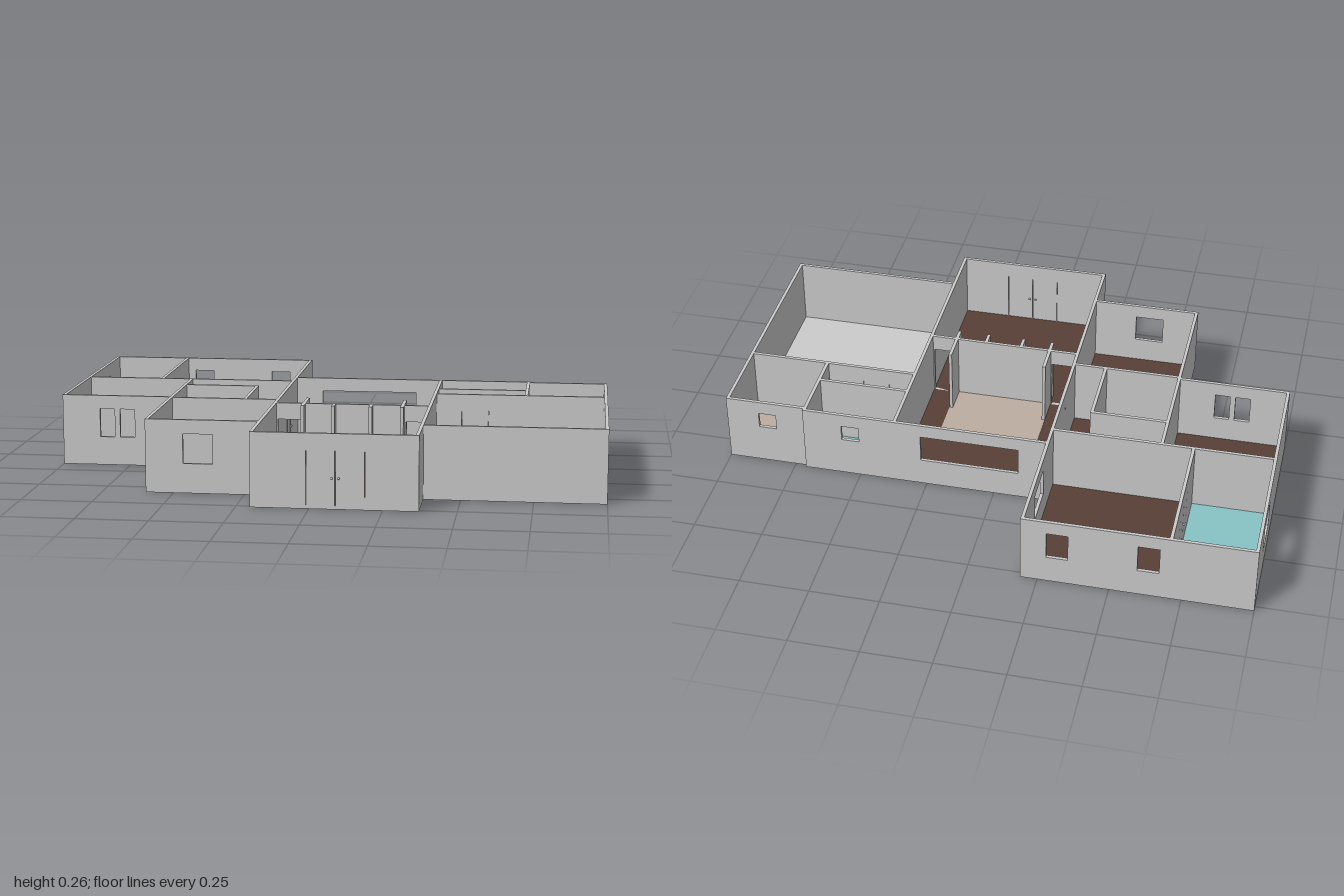
import * as THREE from 'three';

const H = 0.26, T = 0.012, FLOOR = 0.012, DOOR_H = 0.2;
const grey = new THREE.MeshStandardMaterial({ color: 0xcccccc });
const wood = new THREE.MeshStandardMaterial({ color: 0x583f37 });
const bathTile = new THREE.MeshStandardMaterial({ color: 0x88c4c6 });
const stone = new THREE.MeshStandardMaterial({ color: 0xbdada2 });

function add(parent, name, geometry, material = grey) {
  const mesh = new THREE.Mesh(geometry, material);
  mesh.name = name;
  parent.add(mesh);
  return mesh;
}

// Upright wall at c, running from a to b along x or z; holes are [from, to, bottom, top]
function wall(parent, name, axis, c, a, b, holes = []) {
  const shape = new THREE.Shape([[a, 0], [b, 0], [b, H], [a, H]].map(p => new THREE.Vector2(...p)));
  for (const [u0, u1, y0, y1] of holes) {
    shape.holes.push(new THREE.Path([[u0, y0], [u0, y1], [u1, y1], [u1, y0]].map(p => new THREE.Vector2(...p))));
  }
  const geo = new THREE.ExtrudeGeometry(shape, { depth: T, bevelEnabled: false });
  geo.translate(0, 0, -T / 2);
  if (axis === 'z') geo.rotateY(-Math.PI / 2).translate(c, 0, 0);
  else geo.translate(0, 0, c);
  return add(parent, name, geo);
}

// Closed door in a wall: one or two leaves, each with a knob on both faces
function door(parent, name, axis, c, mid, width, leaves) {
  const group = new THREE.Group();
  group.name = name;
  const w = width / leaves, gap = 0.003, h = DOOR_H - FLOOR;
  for (let i = 0; i < leaves; i++) {
    const u = (i - (leaves - 1) / 2) * w;
    add(group, 'doorLeaf', new THREE.BoxGeometry(w - gap, h, T)).position.set(u, FLOOR + h / 2, 0);
    const knobU = leaves === 2 ? Math.sign(u) * 0.012 : w / 2 - 0.012;
    for (const side of [-1, 1]) {
      add(group, 'doorKnob', new THREE.SphereGeometry(0.004, 12, 8)).position.set(knobU, 0.107, side * (T / 2 + 0.003));
    }
  }
  if (axis === 'z') {
    group.rotation.y = -Math.PI / 2;
    group.position.set(c, 0, mid);
  } else group.position.set(mid, 0, c);
  parent.add(group);
}
const doorHole = (mid, width) => [mid - width / 2, mid + width / 2, FLOOR, DOOR_H];
const windowHole = (from, to, bottom = 0.105) => [from, to, bottom, 0.21];

export function createModel() {
  const house = new THREE.Group();
  house.name = 'house';

  // Ground slab following the outline of the house
  const outline = [[-1, -0.772], [-0.19, -0.772], [-0.19, -0.348], [0.708, -0.348], [0.708, -0.338],
    [1, -0.338], [1, 0.58], [0.372, 0.58], [0.372, 0.765], [-0.202, 0.765], [-0.202, 0.58],
    [-0.598, 0.58], [-0.598, 0.143], [-1, 0.143]];
  const slab = new THREE.ExtrudeGeometry(new THREE.Shape(outline.map(p => new THREE.Vector2(...p))),
    { depth: 0.008, bevelEnabled: false });
  add(house, 'groundSlab', slab.rotateX(Math.PI / 2).translate(0, 0.008, 0));

  // Room floors: name, x range, z range, material
  const floors = [
    ['mainBathFloor', -0.994, -0.705, -0.766, -0.262, bathTile],
    ['mainBedroomFloor', -0.705, -0.196, -0.766, -0.262, wood],
    ['sideBedroomFloor', -0.994, -0.595, -0.262, 0.137, wood],
    ['hallFloor', -0.595, -0.196, -0.262, -0.132, wood],
    ['hallEndFloor', -0.316, -0.196, -0.132, 0.145, wood],
    ['hallBathFloor', -0.595, -0.316, -0.132, 0.145, bathTile],
    ['frontBedroomFloor', -0.592, -0.196, 0.145, 0.574, wood],
    ['livingRoomFloor', -0.196, 0.368, -0.342, 0.759, wood],
    ['smallBathFloor', 0.368, 0.702, -0.342, -0.152, bathTile],
    ['closetFloor', 0.368, 0.702, -0.152, -0.044, wood],
    ['utilityFloor', 0.702, 0.994, -0.332, -0.044, stone],
    ['garageFloor', 0.368, 0.994, -0.044, 0.574, grey],
  ];
  for (const [name, x0, x1, z0, z1, mat] of floors) {
    add(house, name, new THREE.BoxGeometry(x1 - x0, FLOOR - 0.008, z1 - z0), mat)
      .position.set((x0 + x1) / 2, (FLOOR + 0.008) / 2, (z0 + z1) / 2);
  }
  add(house, 'kitchenTiles', new THREE.BoxGeometry(0.37, 0.003, 0.27), stone).position.set(0.09, FLOOR + 0.0008, 0.07);

  // Outer walls
  wall(house, 'bedroomBackWall', 'x', -0.766, -1, -0.19, [windowHole(-0.67, -0.595), windowHole(-0.355, -0.28)]);
  wall(house, 'leftSideWall', 'z', -0.994, -0.772, 0.143, [windowHole(-0.585, -0.44)]);
  wall(house, 'sideBedroomFrontWall', 'x', 0.137, -1, -0.592, [windowHole(-0.86, -0.805), windowHole(-0.785, -0.73)]);
  wall(house, 'frontBedroomSideWall', 'z', -0.592, -0.262, 0.58);
  wall(house, 'frontBedroomFrontWall', 'x', 0.574, -0.598, -0.196, [windowHole(-0.465, -0.36)]);
  wall(house, 'livingFrontWall', 'x', 0.759, -0.202, 0.372, [doorHole(0.09, 0.2)]);
  wall(house, 'livingBackWall', 'x', -0.342, -0.196, 0.708, [windowHole(-0.09, 0.27), windowHole(0.5, 0.565, 0.15)]);
  wall(house, 'utilityBackWall', 'x', -0.332, 0.702, 1, [windowHole(0.815, 0.88, 0.15)]);
  wall(house, 'garageSideWall', 'z', 0.994, -0.338, 0.58);
  wall(house, 'garageFrontWall', 'x', 0.574, 0.366, 1);

  // Inner walls
  wall(house, 'longLeftWall', 'z', -0.196, -0.772, 0.765, [windowHole(-0.585, -0.44), doorHole(-0.13, 0.16)]);
  wall(house, 'longRightWall', 'z', 0.366, -0.348, 0.765);
  wall(house, 'mainBathWall', 'z', -0.705, -0.772, -0.262, [doorHole(-0.515, 0.16)]);
  wall(house, 'bedroomHallWall', 'x', -0.262, -1, -0.196);
  wall(house, 'hallBathBackWall', 'x', -0.132, -0.592, -0.31);
  wall(house, 'hallBathSideWall', 'z', -0.316, -0.132, 0.145);
  wall(house, 'frontBedroomBackWall', 'x', 0.145, -0.592, -0.196);
  wall(house, 'smallBathWall', 'x', -0.152, 0.366, 0.702);
  wall(house, 'utilityWall', 'z', 0.702, -0.342, -0.044, [doorHole(-0.1, 0.08)]);
  wall(house, 'garageBackWall', 'x', -0.044, 0.366, 1, [doorHole(0.515, 0.1)]);

  // Kitchen divider with an open passage on each side, and its partitions
  wall(house, 'kitchenWall', 'x', 0.21, -0.196, 0.366,
    [[-0.185, -0.1, FLOOR, DOOR_H], [0.28, 0.356, FLOOR, DOOR_H]]);
  for (const [x, back] of [[-0.09, 0.1], [0.02, 0.21], [0.155, 0.21], [0.268, 0.1]]) {
    wall(house, 'kitchenPartition', 'z', x, back, 0.26);
  }

  // Doors
  door(house, 'frontDoor', 'x', 0.759, 0.09, 0.2, 2);
  door(house, 'hallDoor', 'z', -0.196, -0.13, 0.16, 2);
  door(house, 'mainBathDoor', 'z', -0.705, -0.515, 0.16, 2);
  door(house, 'utilityDoor', 'z', 0.702, -0.1, 0.08, 1);
  door(house, 'garageDoor', 'x', -0.044, 0.515, 0.1, 1);

  return house;
}
